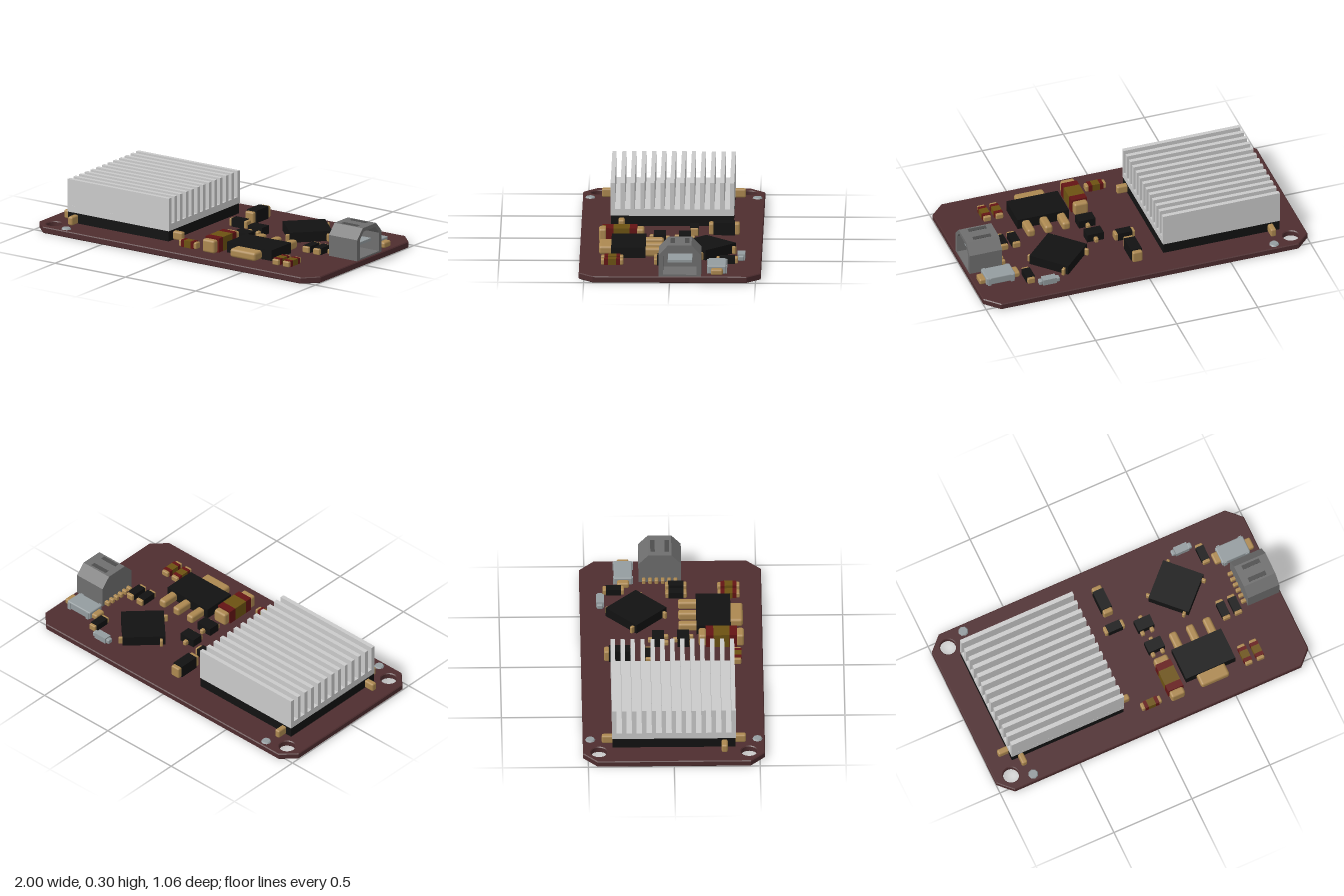
import * as THREE from 'three';
import { RoundedBoxGeometry } from 'three/addons/geometries/RoundedBoxGeometry.js';

const mat = (name, color, side = THREE.FrontSide) => {
  const m = new THREE.MeshStandardMaterial({ color, side });
  m.name = name;
  return m;
};

export function createModel() {
  const root = new THREE.Group();
  root.name = 'circuitBoard';
  const M = {
    board: mat('maroon board', 0x4e2d2f),
    gold: mat('solder gold', 0xac8850),
    black: mat('chip black', 0x121212),
    red: mat('band red', 0x641414),
    olive: mat('resistor olive', 0x6c5212),
    sink: mat('heatsink aluminium', 0xcacaca),
    shell: mat('connector grey', 0x6e6e6e),
    dark: mat('slot grey', 0x4c4c4c),
    silver: mat('silver', 0x949c9f),
  };
  const TOP = 0.038;

  const add = (parent, name, geo, m, x = 0, y = 0, z = 0) => {
    const mesh = new THREE.Mesh(geo, m);
    mesh.name = name;
    mesh.position.set(x, y, z);
    parent.add(mesh);
    return mesh;
  };
  const box = (p, name, m, w, h, d, x, y, z) =>
    add(p, name, new THREE.BoxGeometry(w, h, d), m, x, y + h / 2, z);
  const round = (p, name, m, w, h, d, x, y, z, r = 0.3) =>
    add(p, name, new RoundedBoxGeometry(w, h, d, 2, Math.min(w, h, d) * r), m, x, y + h / 2, z);
  const group = (name, x = 0, z = 0, angle = 0) => {
    const g = new THREE.Group();
    g.name = name;
    g.position.set(x, TOP, z);
    g.rotation.y = angle;
    root.add(g);
    return g;
  };

  // Board with cut corners and two mounting holes
  const X = 0.995, Z = 0.525, C = 0.08;
  const outline = new THREE.Shape([
    [-X + C, -Z], [X - C, -Z], [X, -Z + C], [X, Z - C],
    [X - C, Z], [-X + C, Z], [-X, Z - C], [-X, -Z + C],
  ].map(([x, y]) => new THREE.Vector2(x, y)));
  for (const s of [-1, 1]) {
    const hole = new THREE.Path();
    hole.absarc(-0.9, s * 0.437, 0.052, 0, Math.PI * 2, true);
    outline.holes.push(hole);
  }
  const boardGeo = new THREE.ExtrudeGeometry(outline, {
    depth: TOP - 0.01, bevelThickness: 0.005, bevelSize: 0.005, bevelSegments: 1, curveSegments: 24,
  }).rotateX(-Math.PI / 2);
  add(root, 'board', boardGeo, M.board, 0, 0.005, 0);
  for (const s of [-1, 1])
    add(root, 'alignmentDot', new THREE.CylinderGeometry(0.024, 0.03, 0.008, 8), M.silver, -0.78, TOP + 0.004, s * 0.487);

  // Main processor with finned heatsink
  const cpu = group('processor', -0.5, 0);
  box(cpu, 'processorBody', M.black, 0.715, 0.062, 0.715, 0, 0, 0);
  for (const [x, z, w, d] of [
    [-0.385, 0.295, 0.07, 0.036], [0.385, 0.295, 0.07, 0.036],
    [-0.302, -0.385, 0.034, 0.07], [-0.302, 0.385, 0.034, 0.07],
  ]) round(cpu, 'processorPin', M.gold, w, 0.052, d, x, 0, z);
  box(cpu, 'heatsinkBase', M.sink, 0.72, 0.04, 0.72, 0, 0.062, 0);
  for (let i = 0; i < 13; i++)
    box(cpu, 'heatsinkFin', M.sink, 0.72, 0.16, 0.025, 0, 0.1, -0.3475 + i * 0.0579);

  // Two-ended surface parts; length runs along local x
  const chip = (name, x, z, len, wid, h, alongZ, banded) => {
    const g = group(name, x, z, alongZ ? Math.PI / 2 : 0);
    const cap = len * 0.17, body = len - cap * 2 + 0.006;
    for (const s of [-1, 1])
      round(g, 'endCap', M.gold, cap, h * 0.93, wid * 0.9, s * (len - cap) / 2, 0, 0);
    if (!banded) {
      box(g, 'chipBody', M.black, body, h, wid, 0, 0, 0);
      return;
    }
    const band = body * 0.24;
    box(g, 'resistorBody', M.olive, body - band * 2, h, wid, 0, 0, 0);
    for (const s of [-1, 1])
      box(g, 'redBand', M.red, band, h, wid, s * (body - band) / 2, 0, 0);
  };
  chip('blackDiode', 0.027, -0.305, 0.18, 0.066, 0.075, true);
  chip('smallDiode', 0.022, -0.132, 0.126, 0.052, 0.05, false);
  chip('cornerChip', 0.682, -0.332, 0.125, 0.05, 0.04, true);
  for (const x of [0.645, 0.72]) {
    chip('sideChip', x, 0.032, 0.125, 0.05, 0.04, true);
    chip('smallResistor', x, 0.338, 0.13, 0.05, 0.036, true, true);
  }
  chip('largeResistor', 0.182, 0.29, 0.265, 0.096, 0.085, true, true);
  chip('frontResistor', 0.022, 0.382, 0.126, 0.046, 0.042, false, true);

  // Three-legged transistors
  for (const z of [-0.078, 0.068]) {
    const g = group('transistor', 0.19, z);
    box(g, 'transistorBody', M.black, 0.102, 0.05, 0.07, 0, 0, 0);
    for (const [x, dz] of [[0, -0.044], [-0.03, 0.044], [0.03, 0.044]])
      round(g, 'transistorLeg', M.gold, 0.024, 0.03, 0.032, x, 0, dz);
  }

  // Power regulator with heat tab and three legs
  const reg = group('regulator', 0.422, 0.246);
  box(reg, 'regulatorBody', M.black, 0.316, 0.064, 0.2, 0, 0, 0);
  round(reg, 'regulatorTab', M.gold, 0.18, 0.052, 0.1, 0, 0, 0.122);
  for (const x of [-0.108, 0, 0.108])
    round(reg, 'regulatorLeg', M.gold, 0.048, 0.052, 0.12, x, 0, -0.145);

  // Diagonal microcontroller
  const mcu = group('microcontroller', 0.452, -0.203, Math.PI / 4);
  box(mcu, 'microcontrollerBody', M.black, 0.25, 0.06, 0.25, 0, 0, 0);
  for (let i = 0; i < 4; i++) {
    const side = new THREE.Group();
    side.name = 'pinSide';
    side.rotation.y = i * Math.PI / 2;
    mcu.add(side);
    round(side, 'cornerPin', M.gold, 0.018, 0.045, 0.03, 0.1, 0, 0.133);
  }
  round(mcu, 'cornerPin', M.gold, 0.018, 0.045, 0.03, -0.1, 0, -0.133);

  // Silver crystal
  const crystal = group('crystal', 0.582, -0.412);
  box(crystal, 'crystalBody', M.silver, 0.084, 0.036, 0.046, 0, 0, 0);
  for (const s of [-1, 1])
    round(crystal, 'crystalEnd', M.silver, 0.024, 0.03, 0.034, s * 0.052, 0, 0);

  // Silver fuse with gold ends
  const fuse = group('fuse', 0.848, -0.275);
  round(fuse, 'fuseBody', M.silver, 0.178, 0.05, 0.108, 0, 0, 0, 0.15);
  for (const s of [-1, 1]) {
    round(fuse, 'fuseEnd', M.gold, 0.05, 0.036, 0.07, s * 0.1, 0, 0);
    box(fuse, 'fuseRim', M.silver, 0.02, 0.046, 0.118, s * 0.07, 0, 0);
  }

  // Cable socket: hollow shell with sloped shoulders
  const socket = group('socket', 0, -0.06);
  const profile = (w, y0, shoulder, top, t) => [
    [-w, y0], [w, y0], [w, shoulder], [t, top], [-t, top], [-w, shoulder],
  ].map(([x, y]) => new THREE.Vector2(x, y));
  const shell = new THREE.Shape(profile(0.124, 0, 0.127, 0.187, 0.068));
  shell.holes.push(new THREE.Path(profile(0.098, 0.01, 0.12, 0.165, 0.06).reverse()));
  const extrudeX = (shape, depth) =>
    new THREE.ExtrudeGeometry(shape, { depth, bevelEnabled: false }).rotateY(Math.PI / 2);
  add(socket, 'socketShell', extrudeX(shell, 0.185), M.shell, 0.807);
  add(socket, 'socketBack', extrudeX(new THREE.Shape(profile(0.124, 0, 0.127, 0.187, 0.068)), 0.016), M.shell, 0.791);
  box(socket, 'socketTongue', M.silver, 0.15, 0.016, 0.142, 0.88, 0.073, 0);
  for (const s of [-1, 1])
    box(socket, 'socketSlot', M.dark, 0.11, 0.003, 0.026, 0.887, 0.186, s * 0.042);
  for (let i = 0; i < 6; i++)
    round(socket, 'socketPin', M.gold, 0.04, 0.03, 0.022, 0.782, 0, -0.094 + i * 0.037);

  return root;
}
